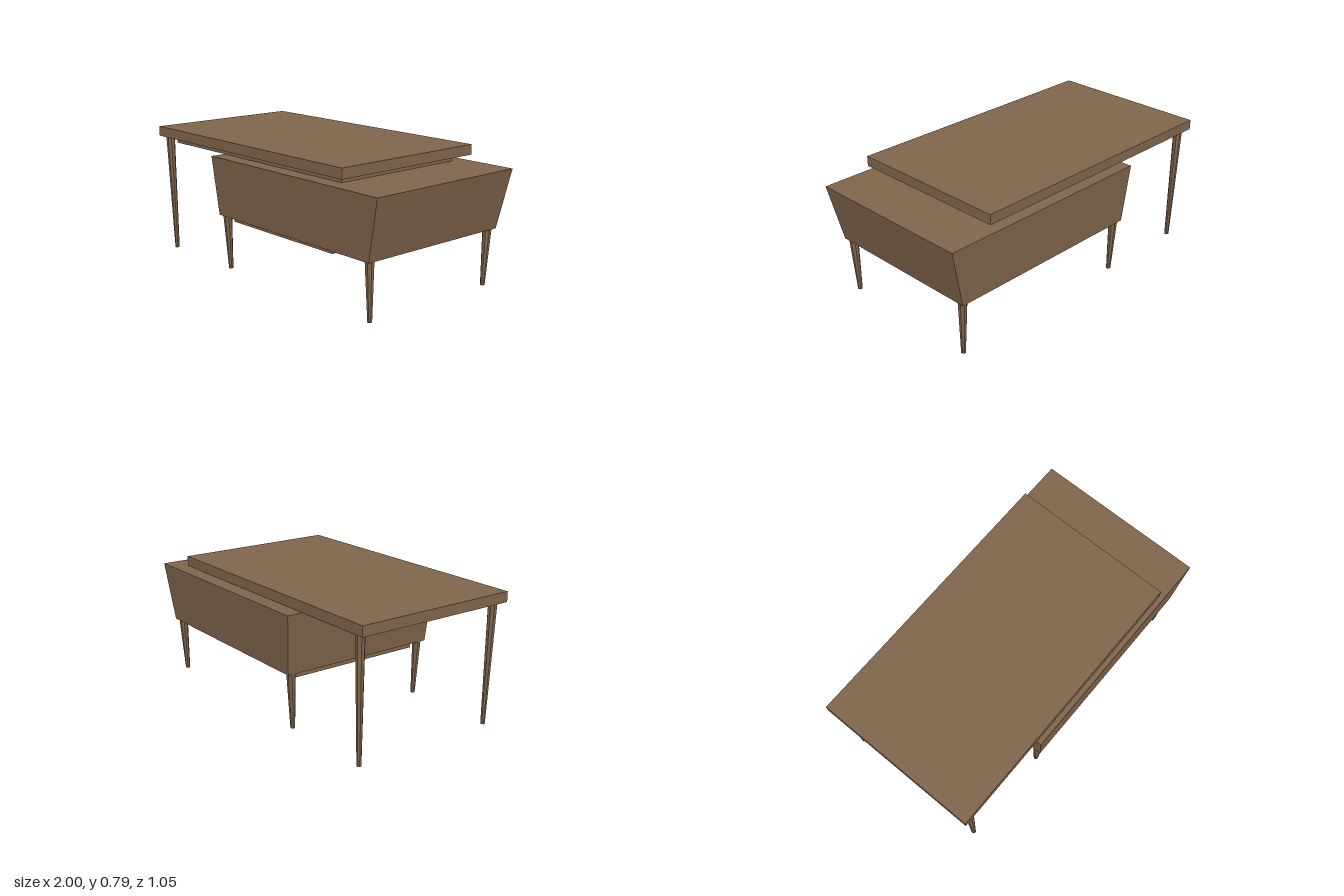
import * as THREE from 'three';

export function createModel() {
  const model = new THREE.Group();
  model.name = 'splitLevelTable';
  const wood = new THREE.MeshStandardMaterial({ color: 0x80654b, flatShading: true, side: THREE.DoubleSide });

  function add(name, geometry) {
    const mesh = new THREE.Mesh(geometry, wood);
    mesh.name = name;
    model.add(mesh);
    return mesh;
  }

  // Box given by its minimum and maximum corners
  function block(name, x0, x1, y0, y1, z0, z1) {
    const g = new THREE.BoxGeometry(x1 - x0, y1 - y0, z1 - z0);
    g.translate((x0 + x1) / 2, (y0 + y1) / 2, (z0 + z1) / 2);
    return add(name, g);
  }

  // Outline in x and y, extruded from z0 to z1
  function panel(name, points, z0, z1) {
    const shape = new THREE.Shape(points.map(([x, y]) => new THREE.Vector2(x, y)));
    const g = new THREE.ExtrudeGeometry(shape, { depth: z1 - z0, bevelEnabled: false });
    g.translate(0, 0, z0);
    return add(name, g);
  }

  // Upper tabletop and the thinner spacer beneath it
  block('tabletop', -1, 0.72, 0.73, 0.79, -0.503, 0.5);
  block('spacer', -0.905, 0.64, 0.69, 0.73, -0.43, 0.43);

  // Lower body: sides taper toward the bottom
  const top = { x0: -0.395, x1: 1, z: 0.523, y: 0.69 };
  const base = { x0: -0.36, x1: 0.92, z: 0.5, y: 0.335 };
  const body = new THREE.BoxGeometry(1, 1, 1);
  const pos = body.attributes.position;
  for (let i = 0; i < pos.count; i++) {
    const e = pos.getY(i) > 0 ? top : base;
    pos.setXYZ(i, pos.getX(i) > 0 ? e.x1 : e.x0, e.y, Math.sign(pos.getZ(i)) * e.z);
  }
  // Drop the bottom face, which is replaced by a panel with an opening
  const index = Array.from(body.index.array);
  index.splice(18, 6);
  body.setIndex(index);
  body.clearGroups();
  body.computeVertexNormals();
  add('bodyShell', body);

  const rect = (P, x0, x1, z) => new P([[x0, -z], [x1, -z], [x1, z], [x0, z]].map(p => new THREE.Vector2(...p)));
  const underside = rect(THREE.Shape, base.x0, base.x1, base.z);
  underside.holes.push(rect(THREE.Path, -0.31, 0.64, 0.43));
  add('bodyUnderside', new THREE.ShapeGeometry(underside).rotateX(Math.PI / 2).translate(0, base.y, 0));

  // Open well inside the body, with a sloping lip at one end
  const t = 0.006;
  for (const s of [-1, 1]) {
    const [z0, z1] = s > 0 ? [0.43 - t, 0.43] : [-0.43, -0.43 + t];
    panel('wellSide', [[-0.31, 0.29], [0.57, 0.29], [0.64, 0.335], [0.64, 0.68], [-0.31, 0.68]], z0, z1);
    // Runner under the well ceiling
    block('wellRunner', -0.304, 0.634, 0.6, 0.66, s > 0 ? 0.34 : -0.424, s > 0 ? 0.424 : -0.34);
  }
  block('wellEnd', -0.31, -0.31 + t, 0.29, 0.68, -0.424, 0.424);
  panel('wellSlopedEnd', [[0.57, 0.29], [0.64, 0.335], [0.64, 0.68], [0.634, 0.68], [0.634, 0.34], [0.566, 0.295]], -0.424, 0.424);
  block('wellCeiling', -0.304, 0.634, 0.66, 0.68, -0.424, 0.424);

  // Tapered eight-sided leg whose inner edge stays upright
  function leg(name, x, z, height, dirX) {
    const rTop = 0.027, rFoot = 0.0135;
    const g = new THREE.CylinderGeometry(rTop, rFoot, height, 8, 1);
    g.rotateY(Math.PI / 8);
    const p = g.attributes.position;
    for (let i = 0; i < p.count; i++) {
      if (p.getY(i) > 0) continue;
      p.setX(i, p.getX(i) - dirX * 0.0125);
      p.setZ(i, p.getZ(i) - Math.sign(z) * 0.0125);
    }
    g.translate(x, height / 2, z);
    g.computeVertexNormals();
    add(name, g);
  }
  for (const s of [-1, 1]) {
    leg('tallLeg', -0.932, s * 0.462, 0.73, -1);
    leg('shortLeg', -0.331, s * 0.462, 0.34, -0.5);
    leg('shortLeg', 0.888, s * 0.462, 0.34, 0.5);
  }

  return model;
}
